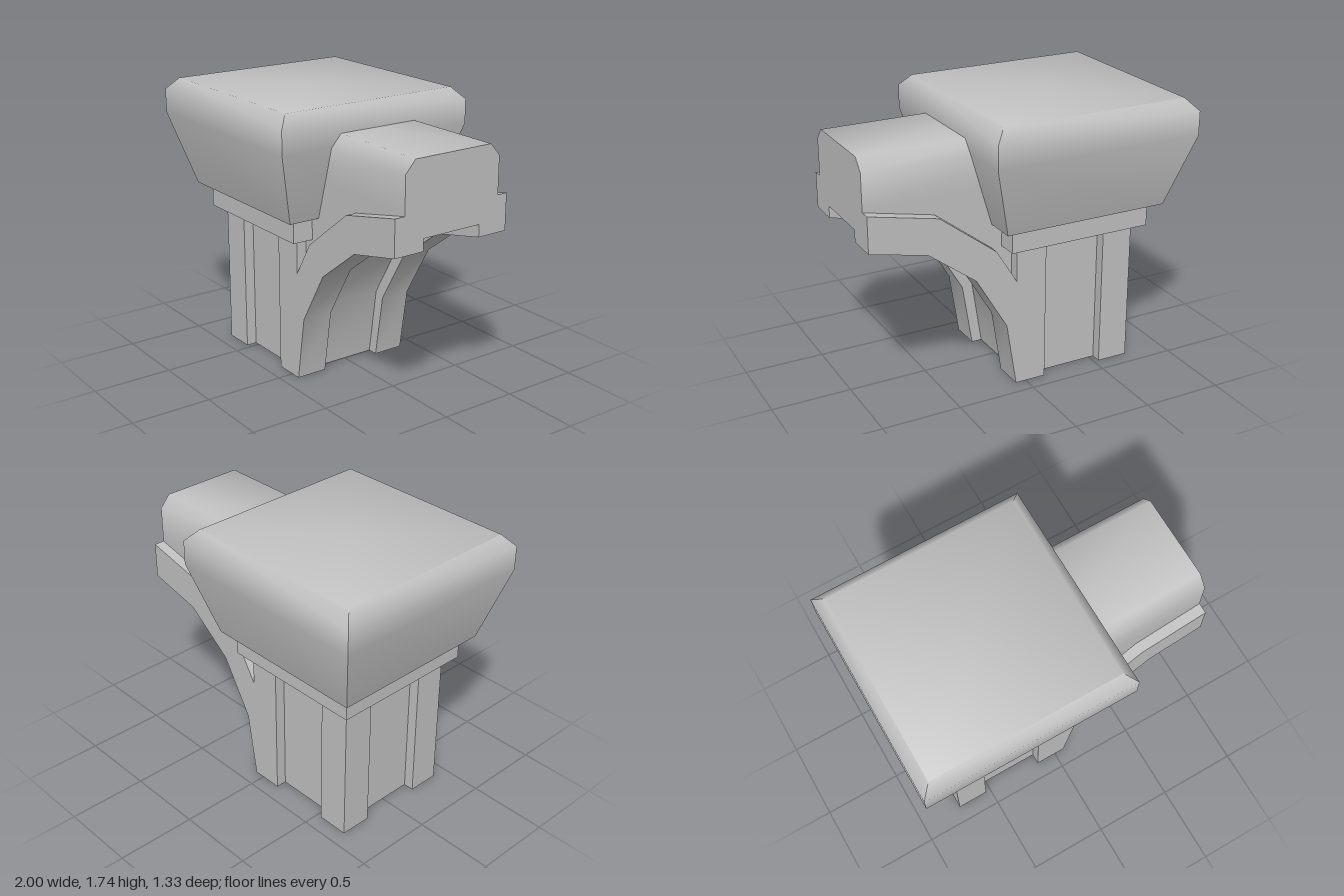
import * as THREE from 'three';
import { toCreasedNormals } from 'three/addons/utils/BufferGeometryUtils.js';

const CX = -0.333; // column axis
const CREASE = 0.87;

export function createModel() {
  const model = new THREE.Group();
  const stone = new THREE.MeshStandardMaterial({ color: 0xc0c0c0 });
  stone.name = 'stone';

  const add = (name, geometry) => {
    const mesh = new THREE.Mesh(geometry, stone);
    mesh.name = name;
    model.add(mesh);
    return mesh;
  };
  const extrude = (points, depth) => toCreasedNormals(new THREE.ExtrudeGeometry(
    new THREE.Shape(points.map(([x, y]) => new THREE.Vector2(x, y))),
    { depth, bevelEnabled: false }), CREASE);

  // Arch curves: outer underside, recessed underside, top of the band
  const underside = [[0.067, 0], [0.133, 0.41], [0.335, 0.75], [0.64, 0.98], [1, 1.06]];
  const recess = [[0, 0], [0.067, 0.435], [0.282, 0.8], [0.61, 1.05], [1, 1.135]];
  const bandTop = [[1, 1.285], [0.565, 1.19], [0.2, 0.91], [0.067, 0.69]];

  // Recessed column core and the wall above the arch
  const core = extrude([[-0.667, 0], ...recess, [1, 1.3], [-0.667, 1.3]], 0.666);
  add('columnCoreAndSpandrel', core.translate(0, 0, -0.333));

  // Chamfered beam above the arch
  const beam = extrude([[-0.333, 1.3], [0.333, 1.3], [0.333, 1.515],
    [0.267, 1.59], [-0.267, 1.59], [-0.333, 1.515]], 1.2);
  add('beam', beam.rotateY(Math.PI / 2).translate(-0.2, 0, 0));

  // Corner ribs: plain on the left, flowing into the arch on the right
  const archRib = [[-0.133, 0], ...underside, ...bandTop, [0.067, 0.95], [-0.133, 0.95]];
  for (const [side, z] of [['Front', 0.2], ['Back', -0.4]]) {
    add('archRib' + side, extrude(archRib, 0.2).translate(0, 0, z));
    const post = add('cornerPost' + side, new THREE.BoxGeometry(0.2, 0.95, 0.2));
    post.position.set(CX - 0.3, 0.475, z + 0.1);
  }

  // Collar under the capital
  const collar = add('collar', new THREE.BoxGeometry(0.933, 0.2, 0.933));
  collar.position.set(CX, 1.01, 0);

  // Flared square capital with a chamfered top
  const profile = [[0, 1.06], [0.533, 1.06], [0.667, 1.515], [0.667, 1.665], [0.6, 1.738], [0, 1.738]]
    .map(([r, y]) => new THREE.Vector2(r * Math.SQRT2, y));
  const capital = new THREE.LatheGeometry(profile, 4, Math.PI / 4);
  add('capital', toCreasedNormals(capital, CREASE)).position.x = CX;

  return model;
}
